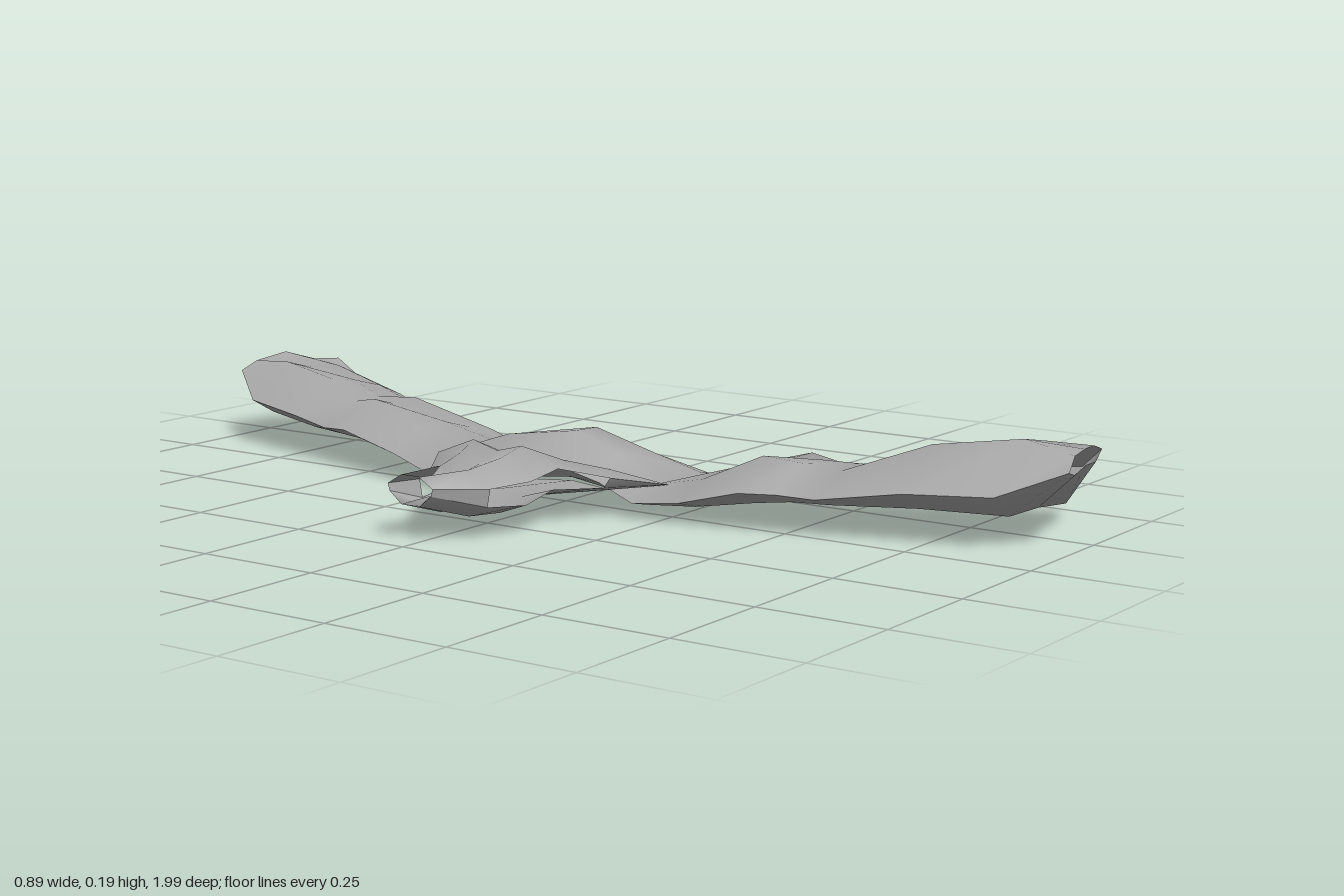
import * as THREE from 'three';

const material = new THREE.MeshStandardMaterial({ color: 0xa8a8a8, side: THREE.DoubleSide });
const lerp = THREE.MathUtils.lerp;

// Smooth sheet of cloth through rows of points
function sheet(name, rows) {
  const n = rows[0].length, index = [];
  for (let i = 0; i < rows.length - 1; i++) {
    for (let j = 0; j < n - 1; j++) {
      const a = i * n + j, c = a + n;
      index.push(a, a + 1, c, a + 1, c + 1, c);
    }
  }
  const geometry = new THREE.BufferGeometry();
  geometry.setAttribute('position', new THREE.Float32BufferAttribute(rows.flat(2), 3));
  geometry.setIndex(index);
  geometry.computeVertexNormals();
  const mesh = new THREE.Mesh(geometry, material);
  mesh.name = name;
  return mesh;
}

// Long strip sections: z, left x, right x, ridge y, underside y
const stripSections = [
  [0.99, 0.16, 0.41, 0.175, 0.135],
  [0.88, 0.085, 0.445, 0.195, 0.045],
  [0.72, 0.04, 0.385, 0.175, 0.05],
  [0.56, 0, 0.33, 0.115, 0.05],
  [0.49, -0.02, 0.29, 0.125, 0.05],
  [0.42, -0.04, 0.3, 0.135, 0.04],
  [0.3, -0.055, 0.265, 0.08, 0.025],
  [0.2, -0.065, 0.245, 0.06, 0.02],
  [0.1, -0.03, 0.22, 0.1, 0.03],
  [0, -0.03, 0.235, 0.14, 0.04],
  [-0.15, -0.06, 0.22, 0.12, 0.03],
  [-0.28, -0.07, 0.26, 0.075, 0.005],
  [-0.4, -0.045, 0.285, 0.1, 0.035],
  [-0.57, 0, 0.295, 0.135, 0.05],
  [-0.64, 0.02, 0.335, 0.12, 0.05],
  [-0.74, 0.045, 0.39, 0.155, 0.045],
  [-0.9, 0.085, 0.445, 0.17, 0.055],
  [-1, 0.16, 0.42, 0.165, 0.135],
];

// Ring around the strip, from the left edge over the top to the right and back below
function stripRing([z, xl, xr, top, base], i) {
  const fold = 0.01 * Math.sin(i * 2.3);
  const slant = Math.abs(z) > 0.95 ? 0.055 * Math.sign(z) : 0;
  const ridge = Math.min(xl + 0.06 + 0.07 * Math.abs(z), 0.2);
  const side = lerp(base, top, 0.4);
  const point = (x, y) => [x, y, z - slant * (x - xl) / (xr - xl)];
  return [
    point(xl, side),
    point(ridge, top),
    point(lerp(ridge, xr, 0.35), lerp(top, side, 0.35) + 0.008 + fold),
    point(lerp(ridge, xr, 0.7), lerp(top, side, 0.7) + 0.01 - fold),
    point(xr, side),
    point(lerp(xl, xr, 0.82), base),
    point(lerp(xl, xr, 0.5), base + 0.008 + fold / 2),
    point(lerp(xl, xr, 0.18), lerp(base, side, 0.25)),
    point(xl, side),
  ];
}

// Side branch sections: x, front z, back z, top y, underside y
const branchSections = [
  [0, 0.24, -0.21, 0.08, 0.04],
  [-0.1, 0.175, -0.19, 0.11, 0.045],
  [-0.19, 0.12, -0.165, 0.147, 0.05],
  [-0.28, 0.125, -0.11, 0.14, 0.037],
  [-0.37, 0.1, -0.065, 0.132, 0.045],
  [-0.45, 0.03, -0.075, 0.125, 0.07],
];

// Ring around the branch; the last one is notched in the middle
function branchRing([x, front, back, top, base], i) {
  const middle = i === branchSections.length - 1 ? x + 0.06 : x;
  const edge = lerp(base, top, 0.65);
  const point = (t, y, px = x) => [px, y, lerp(front, back, t)];
  return [
    point(0, edge),
    point(0.3, top),
    point(0.5, top - 0.015, middle),
    point(0.7, top),
    point(1, edge),
    point(0.96, base + 0.022),
    point(0.7, base),
    point(0.5, base + 0.008, middle),
    point(0.3, base),
    point(0.04, base + 0.022),
    point(0, edge),
  ];
}

export function createModel() {
  const group = new THREE.Group();
  group.name = 'crumpledCloth';
  const part = (rings, from, to) => rings.map(ring => ring.slice(from, to));

  // Long flattened sleeve: two layers meeting in a crease along both edges
  const strip = stripSections.map(stripRing);
  group.add(sheet('stripTop', part(strip, 0, 5)));
  group.add(sheet('stripUnderside', part(strip, 4, 9)));

  // Short sleeve whose layers part along both sides
  const branch = branchSections.map(branchRing);
  group.add(sheet('branchTop', part(branch, 0, 5)));
  group.add(sheet('branchUnderside', part(branch, 5, 10)));

  // Side walls joining the branch layers at its root and its tip
  for (const [name, rings] of [['rootWall', branch.slice(0, 2)], ['tipWall', branch.slice(-2)]]) {
    group.add(sheet(name + 'Back', part(rings, 4, 6)));
    group.add(sheet(name + 'Front', part(rings, 9, 11)));
  }

  return group;
}
